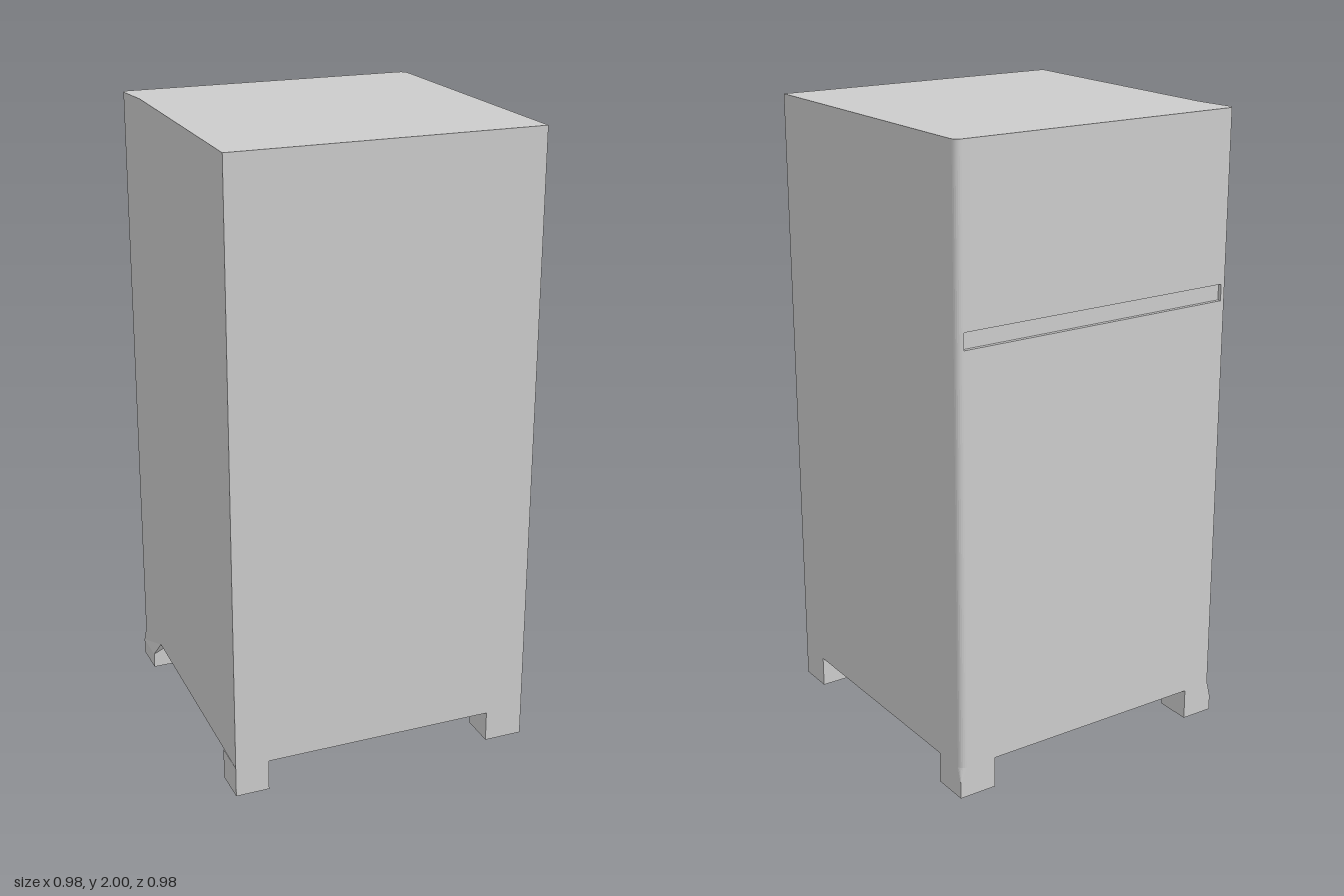
import * as THREE from 'three';

const material = new THREE.MeshStandardMaterial({ color: 0xcccccc });

// Rounded back corner, as [x, z] points
function arc(cx, cz, r, from, to, steps = 6) {
  return Array.from({ length: steps + 1 }, (_, i) => {
    const a = THREE.MathUtils.degToRad(from + (to - from) * i / steps);
    return [cx + r * Math.cos(a), cz + r * Math.sin(a)];
  });
}
const arcRight = arc(0.468, -0.471, 0.022, 0, -90);
const arcLeft = arc(-0.47, -0.473, 0.02, -90, -180);
const dent = [-0.476, -0.345]; // where the tapering side wall is thinnest

// Slab of the body between two heights; "notch" cuts the slot into its back edge
function slab(name, y0, y1, notch = []) {
  const outline = [[-0.493, 0.49], [0.49, 0.49], ...arcRight, ...notch, ...arcLeft, dent];
  const shape = new THREE.Shape(outline.map(([x, z]) => new THREE.Vector2(x, -z)));
  const geometry = new THREE.ExtrudeGeometry(shape, { depth: y1 - y0, bevelEnabled: false });
  geometry.rotateX(-Math.PI / 2).translate(0, y0, 0);
  const mesh = new THREE.Mesh(geometry, material);
  mesh.name = name;
  return mesh;
}

// Closed loft through sections { y, points: [x, z][] } with equal point counts
function loft(name, sections) {
  const flat = sections[0].points.map(([x, z]) => new THREE.Vector2(x, z));
  const reverse = THREE.ShapeUtils.area(flat) > 0;
  const rings = sections.map(({ y, points }) => {
    const ring = points.map(([x, z]) => [x, y, z]);
    return reverse ? ring.reverse() : ring;
  });
  const n = rings[0].length;
  const positions = [];
  for (let s = 0; s < rings.length - 1; s++) {
    for (let i = 0; i < n; i++) {
      const j = (i + 1) % n;
      const [a, b, c, d] = [rings[s][i], rings[s][j], rings[s + 1][j], rings[s + 1][i]];
      positions.push(...a, ...b, ...c, ...a, ...c, ...d);
    }
  }
  // Underside
  for (let i = 1; i < n - 1; i++) positions.push(...rings[0][0], ...rings[0][i + 1], ...rings[0][i]);
  const geometry = new THREE.BufferGeometry();
  geometry.setAttribute('position', new THREE.Float32BufferAttribute(positions, 3));
  geometry.computeVertexNormals();
  const mesh = new THREE.Mesh(geometry, material);
  mesh.name = name;
  return mesh;
}

// Back foot: square block that blends upward into the rounded body corner
function backFoot(name, inner, outer, cornerArc, topFront) {
  const square = [
    [inner, -0.375], [outer, -0.375],
    ...cornerArc.map(() => [outer, -0.493]),
    [inner, -0.493],
  ];
  const blended = [[inner, -0.375], topFront, ...cornerArc, [inner, -0.493]];
  return loft(name, [
    { y: 0, points: square },
    { y: 0.05, points: square },
    { y: 0.1, points: blended },
  ]);
}

function frontFoot(name, x0, x1) {
  const geometry = new THREE.BoxGeometry(x1 - x0, 0.1, 0.115);
  const mesh = new THREE.Mesh(geometry, material);
  mesh.position.set((x0 + x1) / 2, 0.05, 0.4325);
  mesh.name = name;
  return mesh;
}

export function createModel() {
  const group = new THREE.Group();
  group.name = 'cabinet';

  // Body with a shallow slot across the back
  const slot = [[0.466, -0.493], [0.466, -0.481], [-0.466, -0.481], [-0.466, -0.493]];
  group.add(
    slab('lowerBody', 0.1, 1.413),
    slab('slotBand', 1.413, 1.465, slot),
    slab('upperBody', 1.465, 2),
  );

  // Feet
  group.add(
    frontFoot('frontLeftFoot', 0.365, 0.49),
    frontFoot('frontRightFoot', -0.493, -0.385),
    backFoot('backLeftFoot', 0.365, 0.49, arcRight, [0.49, -0.375]),
    backFoot('backRightFoot', -0.385, -0.493, [...arcLeft].reverse(), dent),
  );
  return group;
}
